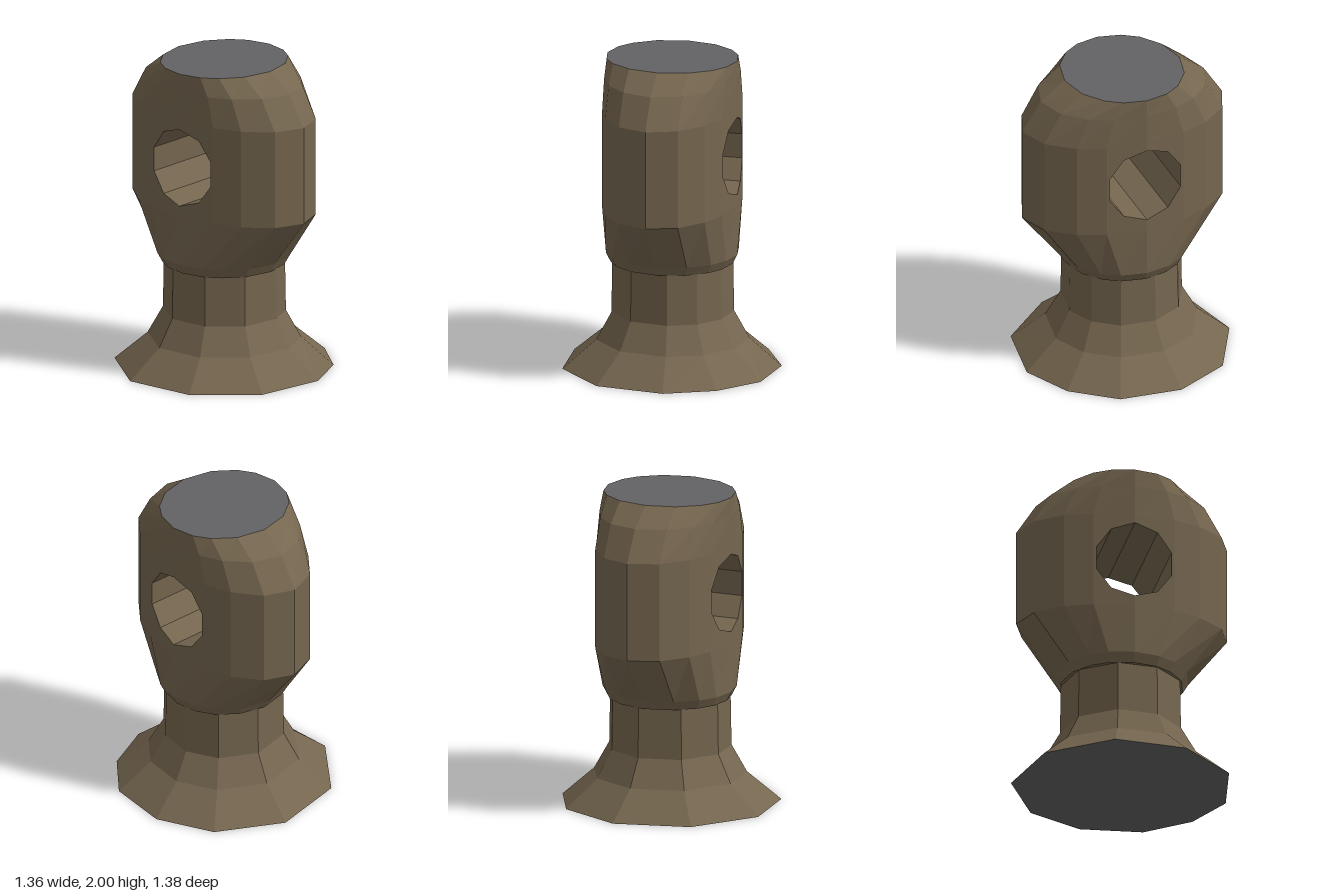
import * as THREE from 'three';

const brown = new THREE.MeshStandardMaterial({ color: 0x75664f, flatShading: true });
brown.name = 'brown wood';
const grey = new THREE.MeshStandardMaterial({ color: 0x626264, flatShading: true });
grey.name = 'grey cap';

function meshOf(name, points, material) {
  const geometry = new THREE.BufferGeometry().setFromPoints(points);
  geometry.computeVertexNormals();
  const mesh = new THREE.Mesh(geometry, material);
  mesh.name = name;
  return mesh;
}

// Joins closed rings of points with quads, leaving out those that skip() picks
function skin(rings, skip = () => false) {
  const out = [];
  for (let r = 0; r < rings.length - 1; r++) {
    const n = rings[r].length;
    for (let i = 0; i < n; i++) {
      if (skip(r, i)) continue;
      const j = (i + 1) % n;
      const [a, b, c, d] = [rings[r][i], rings[r][j], rings[r + 1][j], rings[r + 1][i]];
      out.push(a, d, b, b, d, c);
    }
  }
  return out;
}

// Fills a convex ring
function fan(ring, up) {
  const out = [];
  for (let i = 1; i < ring.length - 1; i++) {
    out.push(ring[0], ...(up ? [ring[i + 1], ring[i]] : [ring[i], ring[i + 1]]));
  }
  return out;
}

export function createModel() {
  const group = new THREE.Group();

  // Flared foot and neck, following an uneven ten-sided outline
  const outline = [[0.09, -0.69], [0.5, -0.48], [0.675, -0.13], [0.64, 0.27], [0.425, 0.54],
    [0.115, 0.69], [-0.33, 0.62], [-0.64, 0.285], [-0.68, -0.18], [-0.39, -0.575]];
  const footRing = outline.map(([x, z]) => new THREE.Vector3(x, 0, z));
  const ringAt = (y, radius) => outline.map(([x, z]) => {
    const a = Math.atan2(z, x);
    return new THREE.Vector3(radius * Math.cos(a), y, radius * Math.sin(a));
  });
  group.add(meshOf('foot', skin([footRing, ringAt(0.18, 0.485), ringAt(0.355, 0.388)]), brown));
  group.add(meshOf('neck', skin([ringAt(0.355, 0.388), ringAt(0.7, 0.382)]), brown));
  group.add(meshOf('footUnderside', fan(footRing, false), grey));

  // Head: oval rings, [height, half width, half depth]
  const quarter = [0, 22.5, 40, 63];
  const angles = [0, 90, 180, 270].flatMap((start, q) =>
    (q % 2 ? [0, 27, 50, 67.5] : quarter).map(a => THREE.MathUtils.degToRad(start + a)));
  const levels = [[0.68, 0.39, 0.39], [0.74, 0.42, 0.425], [1.06, 0.42, 0.675],
    [1.69, 0.42, 0.675], [1.885, 0.42, 0.55], [2, 0.42, 0.387]];
  const rings = levels.map(([y, w, d]) =>
    angles.map(a => new THREE.Vector3(w * Math.cos(a), y, d * Math.sin(a))));
  const sidePanel = (r, i) => r === 2 && [0, 7, 8, 15].includes(i);
  group.add(meshOf('head', [...skin(rings, sidePanel), ...fan(rings[0], false)], brown));
  group.add(meshOf('headTop', fan(rings[5], true), grey));

  // Side panels, each with half of the ten-sided hole cut out
  const holeY = 1.382, holeR = 0.252;
  const corner = rings[2][1];
  const widthAt = z => 0.42 - (0.42 - corner.x) * Math.abs(z) / corner.z;
  const shape = new THREE.Shape();
  shape.moveTo(0, 1.06).lineTo(corner.z, 1.06).lineTo(corner.z, 1.69).lineTo(0, 1.69);
  for (let k = 0; k <= 5; k++) {
    const t = k * Math.PI / 5;
    shape.lineTo(holeR * Math.sin(t), holeY + holeR * Math.cos(t));
  }
  const flat = new THREE.ShapeGeometry(shape).toNonIndexed().getAttribute('position');
  for (const side of [1, -1]) {
    const points = [];
    for (const half of [1, -1]) {
      for (let i = 0; i < flat.count; i += 3) {
        const tri = [0, 1, 2].map(k => new THREE.Vector3(
          side * widthAt(flat.getX(i + k)), flat.getY(i + k), half * flat.getX(i + k)));
        if (side * half === 1) tri.reverse();
        points.push(...tri);
      }
    }
    group.add(meshOf(side > 0 ? 'leftHolePanel' : 'rightHolePanel', points, brown));
  }

  // Inside wall of the hole
  const holeRings = [-1, 1].map(side => Array.from({ length: 10 }, (_, k) => {
    const t = k * Math.PI / 5, z = holeR * Math.sin(t);
    return new THREE.Vector3(side * widthAt(z), holeY + holeR * Math.cos(t), z);
  }));
  group.add(meshOf('holeWall', skin(holeRings), brown));

  return group;
}
